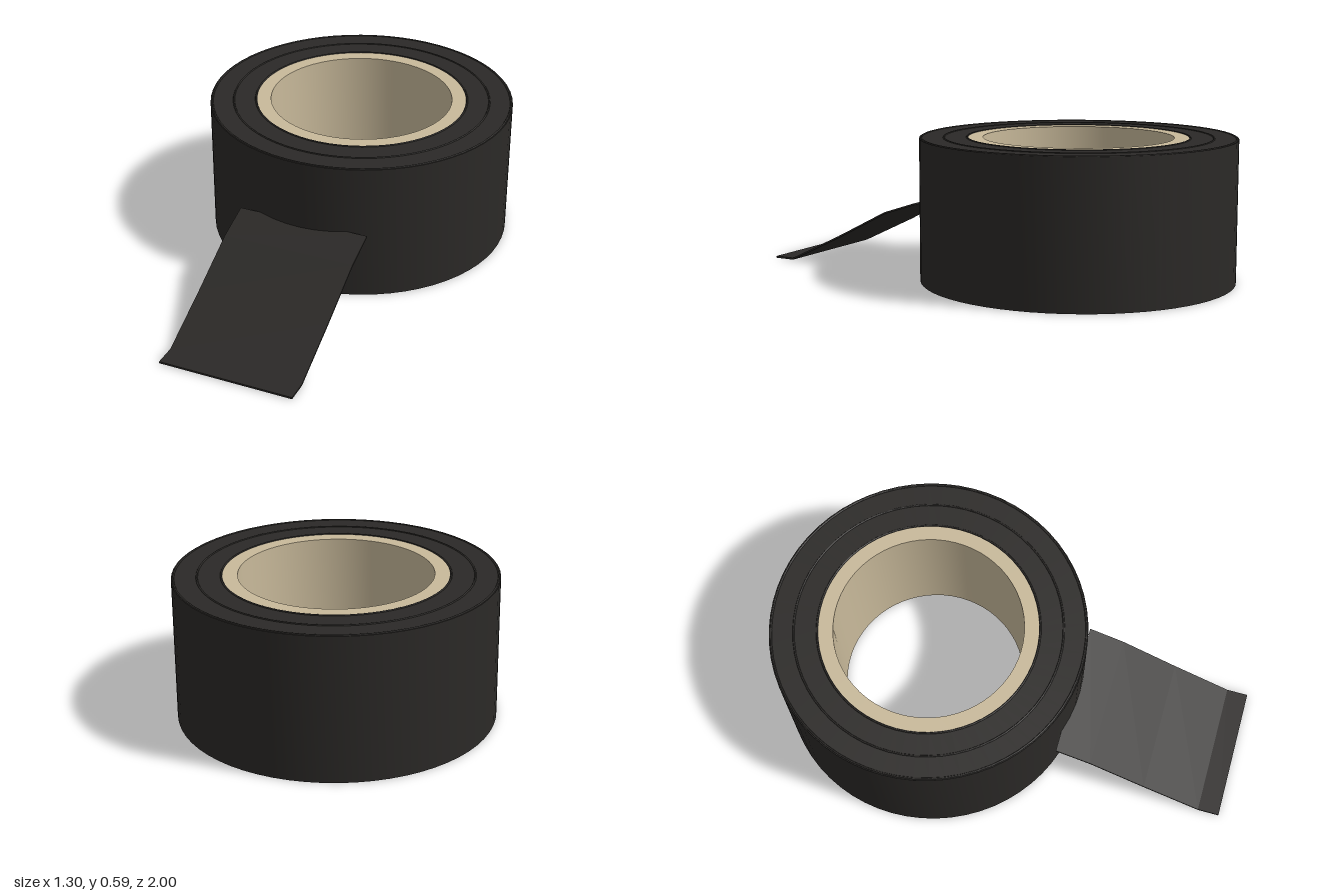
import * as THREE from 'three';
import { toCreasedNormals } from 'three/addons/utils/BufferGeometryUtils.js';

const HEIGHT = 0.59, ROLL_Z = -0.35;

// Upright tube with flat ends and sharp rims
function tube(name, inner, outer, bottom, top, material) {
  const profile = [[outer, bottom], [outer, top], [inner, top], [inner, bottom], [outer, bottom]]
    .map(([r, y]) => new THREE.Vector2(r, y));
  const mesh = new THREE.Mesh(toCreasedNormals(new THREE.LatheGeometry(profile, 64), 0.6), material);
  mesh.name = name;
  return mesh;
}

export function createModel() {
  const model = new THREE.Group();
  model.name = 'tapeRoll';
  const tapeMat = new THREE.MeshStandardMaterial({ color: 0x2b2927 });
  const coreMat = new THREE.MeshStandardMaterial({ color: 0xc8b99a });

  // Wound tape around a card core
  const roll = new THREE.Group();
  roll.name = 'roll';
  roll.position.z = ROLL_Z;
  roll.add(tube('woundTape', 0.45, 0.65, 0, HEIGHT, tapeMat));
  roll.add(tube('core', 0.39, 0.45, 0, HEIGHT, coreMat));

  // Fine winding ridges on the upper face
  for (const r of [0.455, 0.55, 0.642]) {
    const ridge = new THREE.Mesh(new THREE.TorusGeometry(r, 0.004, 6, 64), tapeMat);
    ridge.name = 'windingRidge';
    ridge.rotation.x = Math.PI / 2;
    ridge.position.y = HEIGHT;
    roll.add(ridge);
  }
  model.add(roll);

  // Loose end: a thin side profile (z, y) swept across the strip's width
  const path = [[0.27, 0.296], [0.42, 0.246], [0.66, 0.122], [0.91, 0.002], [1, 0.002]];
  const thickness = 0.008, width = 0.565;
  const outline = [
    ...path.map(([z, y]) => new THREE.Vector2(-z, y)),
    ...path.map(([z, y]) => new THREE.Vector2(-z, y + thickness)).reverse(),
  ];
  const strip = new THREE.ExtrudeGeometry(new THREE.Shape(outline), { depth: width, bevelEnabled: false });
  strip.translate(0, 0, -width / 2);
  strip.rotateY(Math.PI / 2);
  const looseEnd = new THREE.Mesh(strip, tapeMat);
  looseEnd.name = 'looseEnd';
  model.add(looseEnd);

  return model;
}
